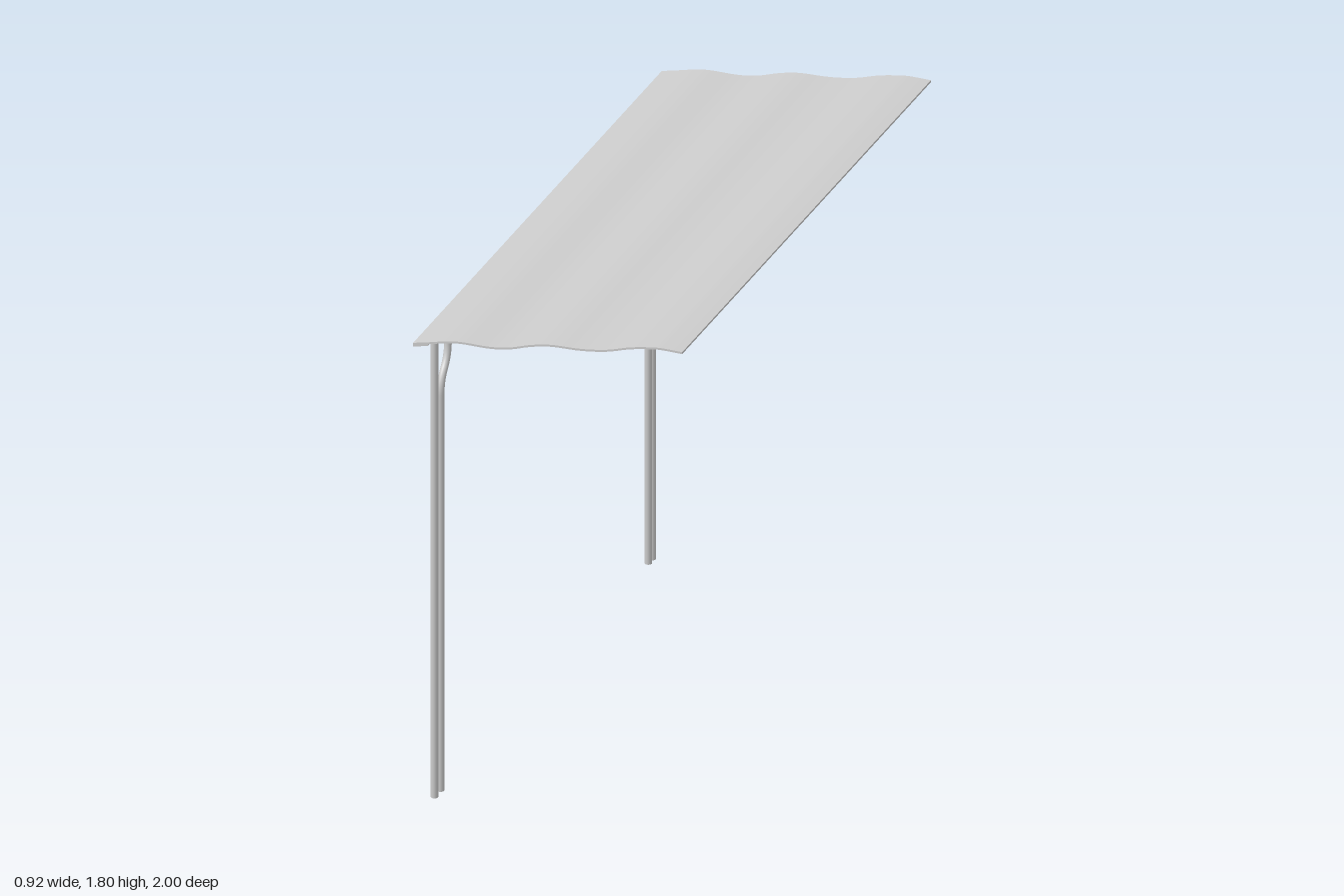
import * as THREE from 'three';
import { toCreasedNormals } from 'three/addons/utils/BufferGeometryUtils.js';

const material = new THREE.MeshStandardMaterial({ color: 0xcccccc });
const POST_X = -0.427;
const POST_TOP = 1.648;
const POST_RADIUS = 0.012;

function addMesh(group, name, geometry) {
  const mesh = new THREE.Mesh(geometry, material);
  mesh.name = name;
  group.add(mesh);
  return mesh;
}

// Thin sheet with a constant wavy section, running the full length in z
function sheet(points, thickness, length) {
  const curve = new THREE.SplineCurve(points.map(([x, y]) => new THREE.Vector2(x, y)));
  const top = curve.getPoints(points.length > 2 ? 48 : 1);
  const bottom = top.map((p) => new THREE.Vector2(p.x, p.y - thickness)).reverse();
  const geometry = new THREE.ExtrudeGeometry(new THREE.Shape([...top, ...bottom]), {
    depth: length, bevelEnabled: false,
  });
  geometry.translate(0, 0, -length / 2);
  return toCreasedNormals(geometry, 0.6);
}

// Straight outer post beside an inner post whose top cranks towards the middle
function postPair(name, side, outerZ, innerZ, topZ) {
  const group = new THREE.Group();
  group.name = name;

  const post = new THREE.CylinderGeometry(POST_RADIUS, POST_RADIUS, POST_TOP, 16);
  addMesh(group, 'straightPost', post).position.set(POST_X, POST_TOP / 2, side * outerZ);

  const at = (y, z) => new THREE.Vector3(POST_X, y, side * z);
  const midZ = (innerZ + topZ) / 2;
  const path = new THREE.CurvePath();
  path.add(new THREE.LineCurve3(at(0, innerZ), at(1.4, innerZ)));
  path.add(new THREE.QuadraticBezierCurve3(at(1.4, innerZ), at(1.45, innerZ), at(1.482, midZ)));
  path.add(new THREE.QuadraticBezierCurve3(at(1.482, midZ), at(1.515, topZ), at(1.565, topZ)));
  path.add(new THREE.LineCurve3(at(1.565, topZ), at(POST_TOP, topZ)));
  addMesh(group, 'crankedPost', new THREE.TubeGeometry(path, 96, POST_RADIUS, 16));

  // Flat caps for the tube ends
  for (const [y, z, turn] of [[0, innerZ, Math.PI / 2], [POST_TOP, topZ, -Math.PI / 2]]) {
    const cap = addMesh(group, 'postCap', new THREE.CircleGeometry(POST_RADIUS, 16));
    cap.position.copy(at(y, z));
    cap.rotation.x = turn;
  }
  return group;
}

export function createModel() {
  const model = new THREE.Group();
  model.name = 'shelter';

  // Sloping wavy roof
  addMesh(model, 'roof', sheet([
    [-0.46, 1.646], [-0.41, 1.658], [-0.36, 1.671], [-0.3, 1.682], [-0.2, 1.685],
    [-0.13, 1.697], [-0.06, 1.72], [0.01, 1.735], [0.11, 1.741], [0.2, 1.756],
    [0.28, 1.781], [0.36, 1.797], [0.4, 1.8], [0.457, 1.8],
  ], 0.007, 2));

  // Stiffening strip under the low edge
  addMesh(model, 'edgeStrip', sheet([[-0.46, 1.645], [-0.41, 1.657]], 0.012, 2));

  // Supports at either end of the low edge
  model.add(postPair('frontPosts', 1, 0.906, 0.857, 0.797));
  model.add(postPair('backPosts', -1, 0.845, 0.813, 0.746));
  return model;
}
